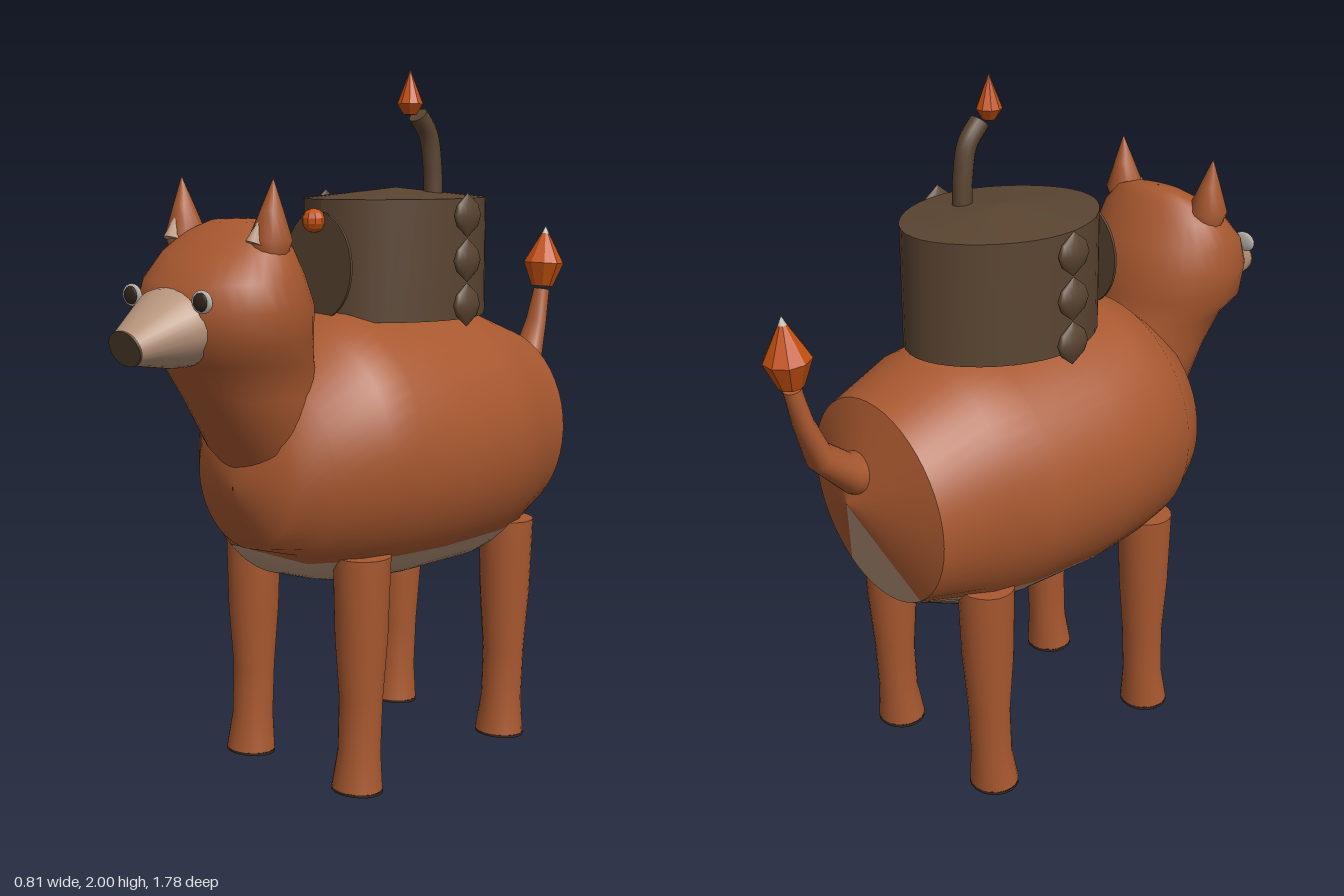
import * as THREE from 'three';

const mat = (name, color, opts = {}) => {
  const m = new THREE.MeshStandardMaterial({ color, ...opts });
  m.name = name;
  return m;
};

// Each ring is [zA, yA, zB, yB, halfWidth]: an ellipse spanning A to B in the middle plane.
// range(cy, ry) gives the start and end angle used on a ring; caps close the ends with hard edges.
function loft(rings, { n = 28, range = null, caps = [false, false] } = {}) {
  const pos = [], idx = [];
  const cols = range ? n + 1 : n;
  const point = ([za, ya, zb, yb, rx], t) => [
    rx * Math.cos(t),
    (ya + yb) / 2 + (ya - yb) / 2 * Math.sin(t),
    (za + zb) / 2 + (za - zb) / 2 * Math.sin(t),
  ];
  for (const r of rings) {
    const [a, b] = range ? range((r[1] + r[3]) / 2, (r[1] - r[3]) / 2) : [0, Math.PI * 2];
    for (let j = 0; j < cols; j++) pos.push(...point(r, a + (b - a) * j / n));
  }
  for (let i = 0; i < rings.length - 1; i++) {
    for (let j = 0; j < n; j++) {
      const a = i * cols + j, b = i * cols + (j + 1) % cols;
      idx.push(a, b, a + cols, b, b + cols, a + cols);
    }
  }
  [rings[0], rings[rings.length - 1]].forEach((r, end) => {
    if (!caps[end]) return;
    const base = pos.length / 3;
    pos.push(0, (r[1] + r[3]) / 2, (r[0] + r[2]) / 2);
    for (let j = 0; j < n; j++) pos.push(...point(r, Math.PI * 2 * j / n));
    for (let j = 0; j < n; j++) {
      const a = base + 1 + j, b = base + 1 + (j + 1) % n;
      if (end) idx.push(base, a, b); else idx.push(base, b, a);
    }
  });
  const g = new THREE.BufferGeometry();
  g.setAttribute('position', new THREE.Float32BufferAttribute(pos, 3));
  g.setIndex(idx);
  g.computeVertexNormals();
  return g;
}

const lathe = (pts, sides) => new THREE.LatheGeometry(pts.map(p => new THREE.Vector2(...p)), sides);

export function createModel() {
  const fur = mat('russet fur', 0xa8582f);
  const cream = mat('cream fur', 0xb8957c);
  const pack = mat('dark brown pack', 0x5a4431);
  const dark = mat('dark hoof', 0x35261d);
  const flame = mat('orange flame', 0xc4500f, { flatShading: true });
  const white = mat('pale grey', 0xc4beb6);

  const model = new THREE.Group();
  const add = (name, geo, material, x = 0, y = 0, z = 0, parent = model) => {
    const m = new THREE.Mesh(geo, material);
    m.name = name;
    m.position.set(x, y, z);
    parent.add(m);
    return m;
  };

  // Body: barrel and rear cone, split into back and belly at one height
  const belly = (cy, ry) => Math.asin(Math.min(1, Math.max(0, (cy - 0.67) / Math.max(ry, 1e-4))));
  const upper = (cy, ry) => [-belly(cy, ry), Math.PI + belly(cy, ry)];
  const lower = (cy, ry) => [Math.PI + belly(cy, ry), Math.PI * 2 - belly(cy, ry)];
  const rearRing = [-0.585, 1.225, -0.55, 0.62, 0.285];
  const barrel = [
    rearRing,
    [-0.38, 1.3, -0.38, 0.55, 0.35],
    [-0.25, 1.31, -0.25, 0.54, 0.385],
    [0, 1.32, 0, 0.545, 0.405],
    [0.17, 1.335, 0.17, 0.555, 0.385],
    [0.28, 1.31, 0.28, 0.58, 0.365],
    [0.42, 1.2, 0.4, 0.62, 0.28],
    [0.49, 1.08, 0.48, 0.7, 0.19],
    [0.525, 0.95, 0.52, 0.82, 0.07],
    [0.528, 0.88, 0.528, 0.87, 0.001],
  ];
  const rear = [[-0.67, 0.951, -0.67, 0.949, 0.001], rearRing];
  add('bodyBack', loft(barrel, { n: 40, range: upper }), fur);
  add('belly', loft(barrel, { n: 20, range: lower }), cream);
  add('rump', loft(rear, { n: 40, range: upper }), fur);
  add('rumpUnderside', loft(rear, { n: 20, range: lower }), cream);

  // Neck and head
  add('neckAndHead', loft([
    [0.3, 0.88, 0.5, 0.9, 0.08],
    [0.27, 0.98, 0.56, 0.98, 0.165],
    [0.27, 1.13, 0.65, 1.13, 0.18],
    [0.3, 1.23, 0.71, 1.23, 0.205],
    [0.325, 1.3, 0.75, 1.28, 0.245],
    [0.325, 1.38, 0.765, 1.37, 0.252],
    [0.36, 1.46, 0.74, 1.44, 0.24],
    [0.4, 1.53, 0.67, 1.51, 0.212],
    [0.435, 1.58, 0.6, 1.56, 0.16],
    [0.46, 1.6, 0.55, 1.59, 0.09],
    [0.5, 1.6, 0.503, 1.6, 0.001],
  ], { n: 36 }), fur);
  add('muzzle', loft([
    [0.7, 1.44, 0.7, 1.225, 0.14],
    [0.76, 1.43, 0.75, 1.225, 0.13],
    [0.885, 1.335, 0.86, 1.243, 0.062],
  ], { caps: [false, true] }), cream);
  add('nose', loft([
    [0.885, 1.335, 0.86, 1.243, 0.062],
    [0.892, 1.333, 0.867, 1.241, 0.062],
  ], { caps: [false, true] }), pack);

  // Eyes and ears
  for (const s of [1, -1]) {
    const side = s > 0 ? 'left' : 'right';
    const eye = new THREE.Group();
    eye.name = side + 'Eye';
    eye.position.set(s * 0.14, 1.405, 0.742);
    model.add(eye);
    add('eyeWhite', new THREE.SphereGeometry(1, 16, 10), white, 0, 0, 0, eye).scale.set(0.04, 0.03, 0.009);
    add('pupil', new THREE.SphereGeometry(1, 16, 10), dark, 0, 0, 0.005, eye).scale.set(0.028, 0.024, 0.009);

    const ear = new THREE.Group();
    ear.name = side + 'Ear';
    ear.position.set(s * 0.168, 1.54, 0.535);
    ear.rotation.z = -s * 0.08;
    model.add(ear);
    add('earCone', lathe([[0.045, -0.03], [0.057, 0.015], [0.03, 0.09], [0, 0.17]], 14), fur, 0, 0, 0, ear);
    add('innerEar', new THREE.ConeGeometry(0.025, 0.09, 10), cream, -s * 0.005, 0.045, 0.035, ear).rotation.x = -0.35;
  }

  // Legs with dark soles
  const legRings = [
    [0.078, 0.68, -0.078, 0.68, 0.084],
    [0.076, 0.45, -0.07, 0.45, 0.076],
    [0.064, 0.27, -0.054, 0.27, 0.064],
    [0.07, 0.12, -0.046, 0.12, 0.063],
    [0.09, 0.018, -0.048, 0.01, 0.075],
  ];
  const soleRings = [[0.09, 0.018, -0.048, 0.01, 0.076], [0.09, 0.01, -0.048, 0, 0.076]];
  for (const [end, z] of [['front', 0.255], ['back', -0.373]]) {
    for (const s of [1, -1]) {
      const leg = new THREE.Group();
      leg.name = end + (s > 0 ? 'Left' : 'Right') + 'Leg';
      leg.position.set(s * 0.222, 0, z);
      model.add(leg);
      add('shaft', loft(legRings, { n: 20, caps: [true, false] }), fur, 0, 0, 0, leg);
      add('sole', loft(soleRings, { n: 20, caps: [false, true] }), dark, 0, 0, 0, leg);
    }
  }

  // Tail and its flame
  add('tail', loft([
    [-0.58, 0.94, -0.58, 1.08, 0.065],
    [-0.67, 0.985, -0.65, 1.1, 0.062],
    [-0.775, 1.09, -0.725, 1.155, 0.052],
    [-0.815, 1.22, -0.765, 1.24, 0.037],
    [-0.84, 1.325, -0.792, 1.335, 0.026],
  ], { n: 18, caps: [false, true] }), fur);
  const tailFlame = add('tailFlame', lathe([[0, -0.07], [0.035, -0.07], [0.065, 0.005], [0.012, 0.1]], 9), flame, 0, 1.41, -0.823);
  tailFlame.rotation.x = -0.08;
  add('flameTip', new THREE.ConeGeometry(0.012, 0.025, 9), white, 0, 0.1125, 0, tailFlame);

  // Saddle pack: a slightly pointed oval with a shallow domed lid
  const oval = g => {
    const p = g.attributes.position;
    for (let i = 0; i < p.count; i++) {
      const x = p.getX(i), z = p.getZ(i);
      p.setXYZ(i, x * 0.245 * (1 - 0.12 * z * z), p.getY(i), z * 0.303);
    }
    g.computeVertexNormals();
    return g;
  };
  add('packSide', oval(new THREE.CylinderGeometry(1, 1, 0.34, 40)), pack, 0, 1.473, -0.115);
  add('packLid', oval(new THREE.ConeGeometry(1, 0.028, 40)), pack, 0, 1.657, -0.115);

  // Front flap with its bead
  const flap = add('packFlap', new THREE.CylinderGeometry(1, 1, 0.008, 32), pack, 0, 1.46, 0.2);
  flap.rotation.x = Math.PI / 2;
  flap.scale.set(0.13, 1, 0.15);
  add('flapBead', new THREE.SphereGeometry(0.034, 10, 7), flame, 0, 1.585, 0.217);

  // Hanging beads on both sides
  const bead = lathe([[0, -0.062], [0.042, -0.03], [0.054, 0], [0.042, 0.03], [0, 0.062]], 16);
  for (const s of [1, -1]) {
    for (const y of [1.348, 1.473, 1.598]) {
      add('sideBead', bead, pack, s * 0.281, y, -0.108).scale.x = 0.36;
    }
  }

  // Chimney pipe and its flame
  const path = new THREE.CatmullRomCurve3([
    [0.1, 1.62, -0.168], [0.1, 1.73, -0.163], [0.1, 1.82, -0.145], [0.1, 1.875, -0.1],
  ].map(p => new THREE.Vector3(...p)));
  add('pipe', new THREE.TubeGeometry(path, 16, 0.028, 14), pack);
  const end = add('pipeEnd', new THREE.CircleGeometry(0.028, 14), pack, 0.1, 1.875, -0.1);
  const t = path.getTangent(1);
  end.rotation.x = -Math.atan2(t.y, t.z);
  add('pipeFlame', lathe([[0, -0.035], [0.018, -0.035], [0.037, -0.005], [0, 0.09]], 9), flame, 0.1, 1.91, -0.067);

  return model;
}
